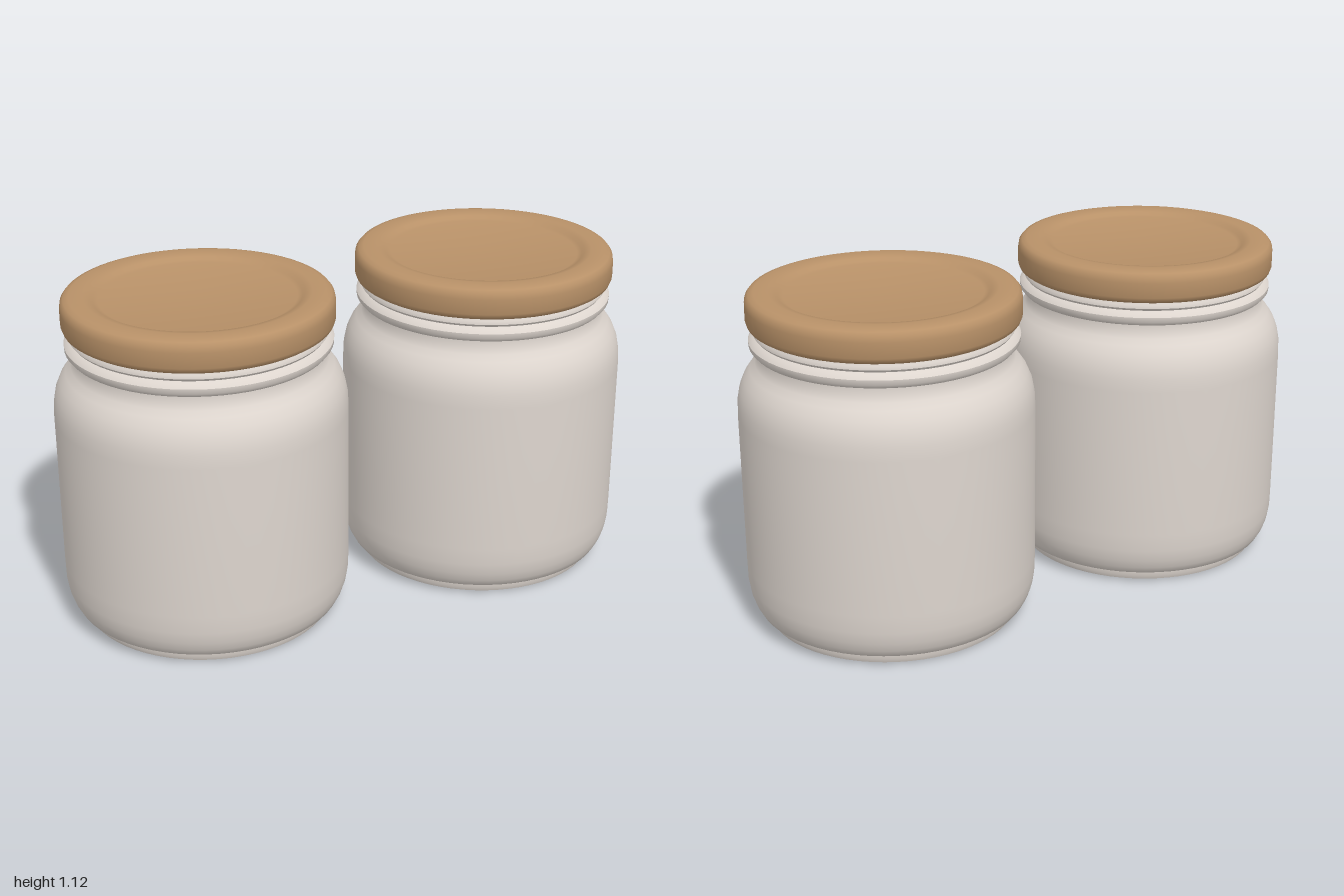
import * as THREE from 'three';
import { toCreasedNormals } from 'three/addons/utils/BufferGeometryUtils.js';

const SEGMENTS = 64;

// Revolve a [radius, height] profile, listed from the underside outward and up
function revolve(profile, crease) {
  const points = profile.map(([r, y]) => new THREE.Vector2(r, y));
  return toCreasedNormals(new THREE.LatheGeometry(points, SEGMENTS), crease);
}

export function createModel() {
  const glass = new THREE.MeshStandardMaterial({ color: 0xddd5ce });
  glass.name = 'milky glass';
  const tan = new THREE.MeshStandardMaterial({ color: 0xb89168 });
  tan.name = 'tan lid';

  // Jar: hollowed base, stepped foot, rounded body, shoulder, neck bead and thread
  const jarGeometry = revolve([
    [0, 0.025], [0.33, 0.02], [0.365, 0.012], [0.385, 0.002], [0.4, 0],
    [0.418, 0.006], [0.424, 0.02], [0.425, 0.036],
    [0.45, 0.046], [0.463, 0.07], [0.473, 0.1], [0.479, 0.14], [0.48, 0.2],
    [0.48, 0.72], [0.478, 0.765], [0.47, 0.805], [0.455, 0.84], [0.435, 0.868],
    [0.417, 0.888], [0.407, 0.91], [0.406, 0.932],
    [0.422, 0.937], [0.433, 0.95], [0.434, 0.966], [0.424, 0.978], [0.412, 0.984],
    [0.418, 0.992], [0.416, 1.004], [0.409, 1.012], [0.407, 1.06],
  ], 0.75);

  // Lid: rolled lower rim, rounded top edge and shallow sunken centre
  const lidGeometry = revolve([
    [0.4, 1.024], [0.41, 1.016], [0.424, 1.014], [0.435, 1.021], [0.44, 1.035],
    [0.44, 1.085], [0.437, 1.103], [0.427, 1.115], [0.41, 1.12],
    [0.365, 1.12], [0.342, 1.116], [0.333, 1.107], [0.318, 1.103], [0, 1.103],
  ], 0.75);

  const model = new THREE.Group();
  model.name = 'pairOfJars';
  for (const [side, x] of [['left', 0.52], ['right', -0.52]]) {
    const jar = new THREE.Group();
    jar.name = side + 'Jar';
    jar.position.x = x;
    const body = new THREE.Mesh(jarGeometry, glass);
    body.name = side + 'JarBody';
    const lid = new THREE.Mesh(lidGeometry, tan);
    lid.name = side + 'JarLid';
    jar.add(body, lid);
    model.add(jar);
  }
  return model;
}
